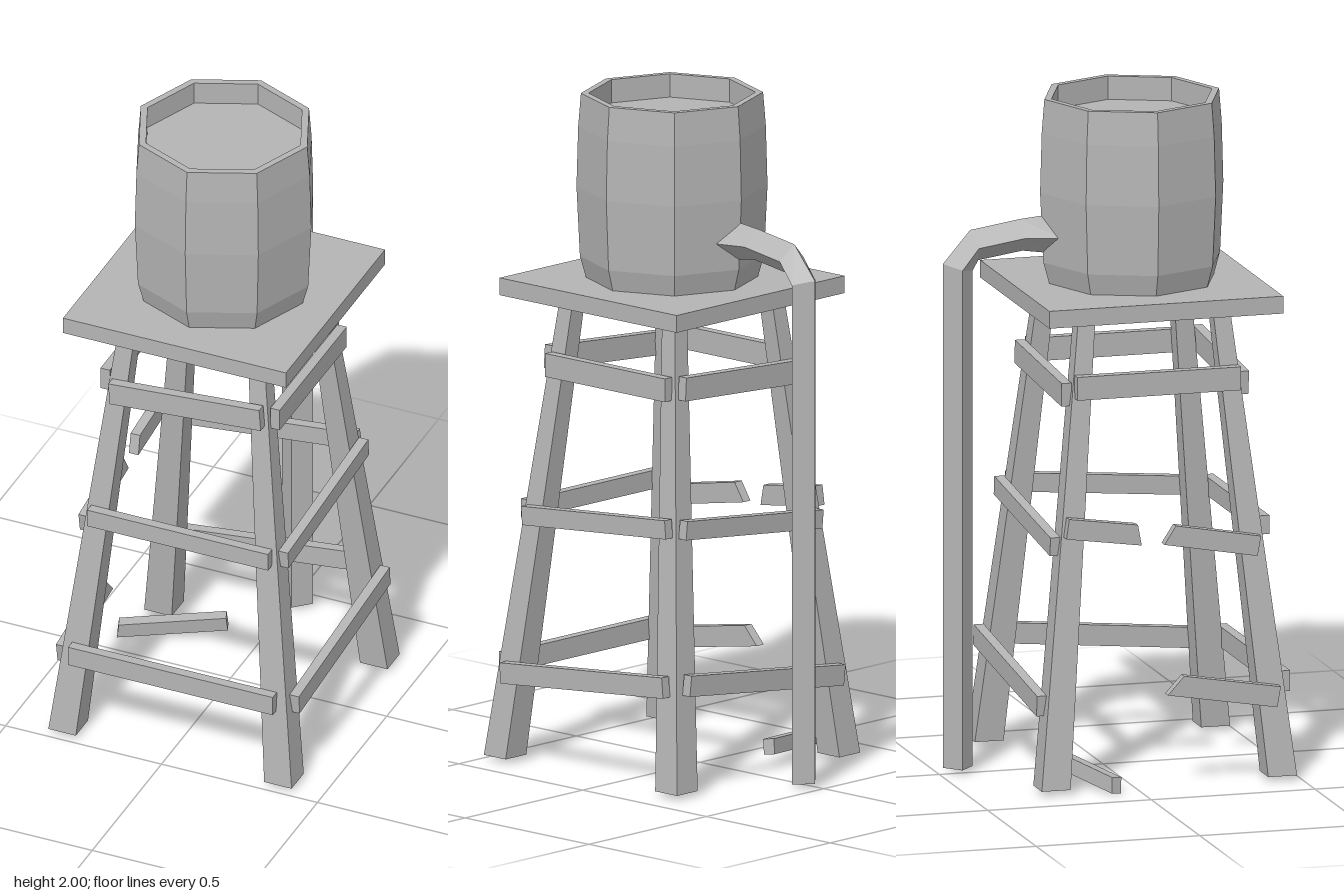
import * as THREE from 'three';

const CX = 0.02, CZ = 0.094; // axis of the tower

export function createModel() {
  const group = new THREE.Group();
  const grey = new THREE.MeshStandardMaterial({ color: 0xb4b4b4, flatShading: true });
  grey.name = 'plain grey';

  const add = (name, geometry, x = 0, y = 0, z = 0) => {
    const mesh = new THREE.Mesh(geometry, grey);
    mesh.name = name;
    mesh.position.set(x, y, z);
    group.add(mesh);
    return mesh;
  };

  // Plank from a to b; cutA / cutB push the lower corners out for a splintered end
  const plank = (name, a, b, height, thick = 0.03, cutA = 0, cutB = 0) => {
    const start = new THREE.Vector3(...a), end = new THREE.Vector3(...b);
    const dir = end.clone().sub(start);
    const geo = new THREE.BoxGeometry(dir.length(), height, thick);
    const p = geo.attributes.position;
    for (let i = 0; i < p.count; i++) {
      const x = p.getX(i);
      if (p.getY(i) < 0) p.setX(i, x < 0 ? x - cutA : x + cutB);
    }
    dir.normalize();
    const side = dir.clone().cross(new THREE.Vector3(0, 1, 0)).normalize();
    const up = side.clone().cross(dir);
    geo.applyMatrix4(new THREE.Matrix4().makeBasis(dir, up, side));
    const mid = start.add(end).multiplyScalar(0.5);
    return add(name, geo, mid.x, mid.y, mid.z);
  };

  // Eight-sided tank with a raised rim and sunken lid
  const profile = [
    [0, 1.445], [0.252, 1.445], [0.27, 1.51], [0.28, 1.72], [0.275, 1.9],
    [0.267, 2], [0.245, 2], [0.245, 1.93], [0, 1.93],
  ].map(([r, y]) => new THREE.Vector2(r, y));
  add('tank', new THREE.LatheGeometry(profile, 8), CX, 0, CZ);

  // Platform
  add('platform', new THREE.BoxGeometry(0.715, 0.052, 0.715), CX, 1.42, CZ);

  // Tapered, leaning legs
  const LOW = 0.012, HIGH = 1.395;
  for (const sx of [-1, 1]) for (const sz of [-1, 1]) {
    const geo = new THREE.BoxGeometry(1, HIGH - LOW, 1);
    const p = geo.attributes.position;
    for (let i = 0; i < p.count; i++) {
      const top = p.getY(i) > 0;
      const centre = top ? 0.205 : 0.346, width = top ? 0.052 : 0.088;
      p.setX(i, sx * centre + p.getX(i) * width);
      p.setZ(i, sz * centre + p.getZ(i) * width);
    }
    add('leg', geo, CX, (LOW + HIGH) / 2, CZ);
  }

  // Braces: out = distance from axis, half = half length, h = plank height,
  // each pair gives the centre height at both ends (x ends, or z front and back)
  const tiers = [
    { out: 0.271, half: 0.242, h: 0.07, front: [1.167, 1.203], back: [1.165, 1.192], left: [1.19, 1.19] },
    { out: 0.32, half: 0.29, h: 0.056, front: [0.747, 0.747], back: [0.722, 0.783], left: [0.738, 0.786] },
    { out: 0.372, half: 0.328, h: 0.062, front: [0.283, 0.283], back: [0.255, 0.33], left: [0.267, 0.325] },
  ];
  for (const { out, half, h, front, back, left } of tiers) {
    const x0 = CX - half, x1 = CX + half;
    plank('frontBrace', [x0, front[0], CZ + out], [x1, front[1], CZ + out], h);
    plank('backBrace', [x0, back[0], CZ - out], [x1, back[1], CZ - out], h);
    plank('leftBrace', [CX + out, left[0], CZ + half], [CX + out, left[1], CZ - half], h);
  }

  // Right side: one whole brace and the remains of two broken ones
  plank('rightBrace', [-0.25, 1.19, CZ + 0.25], [-0.25, 1.19, CZ - 0.25], 0.07);
  plank('brokenBrace', [-0.3, 0.695, 0.385], [-0.3, 0.742, 0.125], 0.06, 0.03, 0, 0.025);
  plank('brokenBrace', [-0.3, 0.752, 0.01], [-0.3, 0.782, -0.2], 0.06, 0.03, 0.02, 0);
  plank('brokenBrace', [-0.352, 0.25, 0.43], [-0.352, 0.3, 0.135], 0.062, 0.03, 0, 0.04);
  const fallen = plank('fallenPlank', [-0.39, 0.03, -0.075], [-0.095, 0.052, -0.19], 0.046, 0.034, 0.01, 0);
  fallen.rotateX(0.12);

  // Drain pipe with a diamond section: top/outer [y,z], bottom/inner [y,z], half width
  const rings = [
    [[1.655, -0.14], [1.535, -0.14], 0.072],
    [[1.645, -0.25], [1.55, -0.24], 0.05],
    [[1.622, -0.4], [1.53, -0.375], 0.05],
    [[1.525, -0.483], [1.5, -0.392], 0.05],
    [[LOW, -0.483], [LOW, -0.392], 0.05],
  ];
  const verts = [], index = [];
  rings.forEach(([t, b, w], i) => {
    const y = (t[0] + b[0]) / 2, z = (t[1] + b[1]) / 2;
    verts.push(CX, t[0], t[1], CX + w, y, z, CX, b[0], b[1], CX - w, y, z);
    if (i === 0) return;
    for (let j = 0; j < 4; j++) {
      const k = (j + 1) % 4, n = i * 4, m = n - 4;
      index.push(m + j, m + k, n + k, m + j, n + k, n + j);
    }
  });
  const last = (rings.length - 1) * 4;
  index.push(2, 1, 0, 3, 2, 0, last, last + 1, last + 2, last, last + 2, last + 3);
  const pipe = new THREE.BufferGeometry();
  pipe.setAttribute('position', new THREE.Float32BufferAttribute(verts, 3));
  pipe.setIndex(index);
  pipe.computeVertexNormals();
  add('drainPipe', pipe);

  return group;
}
